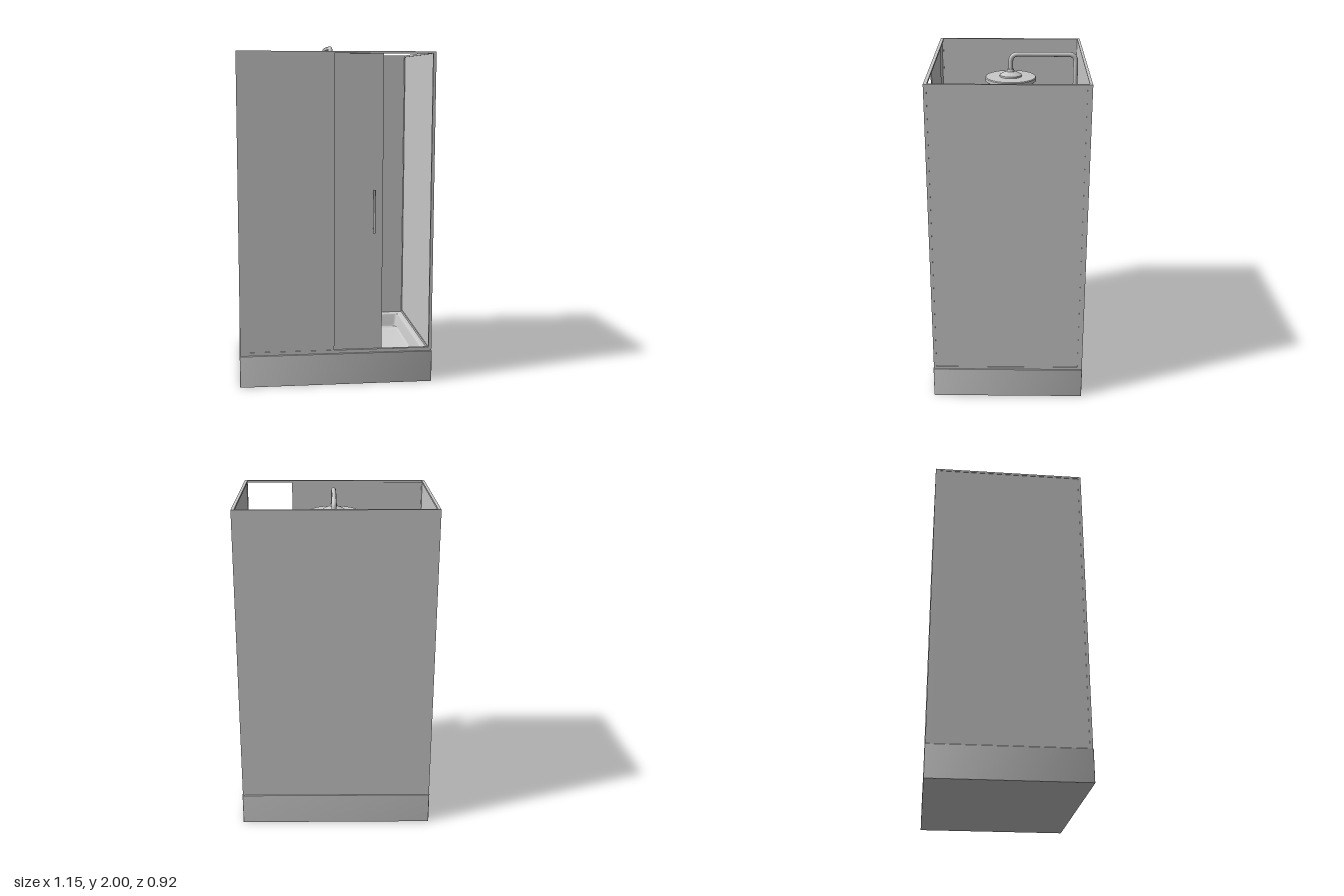
import * as THREE from 'three';
import { toCreasedNormals } from 'three/addons/utils/BufferGeometryUtils.js';

const V = (x, y, z) => new THREE.Vector3(x, y, z);

// Rounded-rectangle cross-section in the xz plane, 4 corners of 7 points each
function ring(hw, hd, r, y, cx = 0, cz = -0.01) {
  const pts = [];
  const signs = [[1, 1], [-1, 1], [-1, -1], [1, -1]];
  signs.forEach(([sx, sz], q) => {
    for (let i = 0; i <= 6; i++) {
      const a = (q + i / 6) * Math.PI / 2;
      pts.push([cx + sx * (hw - r) + r * Math.cos(a), y, cz + sz * (hd - r) + r * Math.sin(a)]);
    }
  });
  return pts;
}

// Skin a list of rings that all have the same number of points
function loft(rings) {
  const pos = [];
  const n = rings[0].length;
  for (let k = 0; k < rings.length - 1; k++) {
    for (let i = 0; i < n; i++) {
      const j = (i + 1) % n;
      const [a, b] = [rings[k], rings[k + 1]];
      pos.push(...a[i], ...b[i], ...a[j], ...a[j], ...b[i], ...b[j]);
    }
  }
  const g = new THREE.BufferGeometry();
  g.setAttribute('position', new THREE.Float32BufferAttribute(pos, 3));
  return toCreasedNormals(g, 0.6);
}

export function createModel() {
  const model = new THREE.Group();
  model.name = 'showerCabin';
  const grey = new THREE.MeshStandardMaterial({ color: 0xc8c8c8 });
  grey.name = 'light grey';

  const add = (name, geo, parent = model) => {
    const m = new THREE.Mesh(geo, grey);
    m.name = name;
    parent.add(m);
    return m;
  };
  const group = (name) => {
    const g = new THREE.Group();
    g.name = name;
    model.add(g);
    return g;
  };
  // Box given by its two opposite corners
  const box = (name, x0, x1, y0, y1, z0, z1, parent) => {
    const m = add(name, new THREE.BoxGeometry(x1 - x0, y1 - y0, z1 - z0), parent);
    m.position.set((x0 + x1) / 2, (y0 + y1) / 2, (z0 + z1) / 2);
    return m;
  };
  // Cylinder between two points
  const rod = (name, a, b, r0, r1, parent, seg = 24) => {
    const d = b.clone().sub(a);
    const m = add(name, new THREE.CylinderGeometry(r1, r0, d.length(), seg), parent);
    m.position.copy(a).addScaledVector(d, 0.5);
    m.quaternion.setFromUnitVectors(V(0, 1, 0), d.normalize());
    return m;
  };

  // Tray: closed shell whose floor falls towards the drain
  const X = 0.573, Z = 0.45, drain = V(-0.39, 0.078, -0.265);
  const inset = (d, r, y) => ring(X - d, Z - d, r, y);
  add('tray', loft([
    ring(0, 0, 0, 0),
    inset(0, 0.006, 0),
    inset(0, 0.006, 0.187),
    inset(0.003, 0.006, 0.19),
    inset(0.02, 0.006, 0.19),
    inset(0.042, 0.012, 0.187),
    inset(0.049, 0.018, 0.182),
    inset(0.053, 0.022, 0.17),
    inset(0.058, 0.026, 0.115),
    inset(0.062, 0.028, 0.1),
    inset(0.072, 0.03, 0.092),
    ring(0, 0, 0, drain.y, drain.x, drain.z),
  ]));

  // Drain cover with radial ribs
  const drainGroup = group('drain');
  drainGroup.position.copy(drain);
  const cover = [[0, 0.008], [0.034, 0.008], [0.037, 0.01], [0.053, 0.01], [0.058, 0.006], [0.058, -0.01]];
  add('drainCover', toCreasedNormals(new THREE.LatheGeometry(
    cover.map(p => new THREE.Vector2(...p)).reverse(), 40), 0.5), drainGroup);
  for (let i = 0; i < 18; i++) {
    const a = i / 18 * Math.PI * 2;
    const rib = add('drainRib', new THREE.BoxGeometry(0.024, 0.004, 0.003), drainGroup);
    rib.position.set(Math.cos(a) * 0.021, 0.009, Math.sin(a) * 0.021);
    rib.rotation.y = -a;
  }

  // Enclosure: solid back wall, side panels in slim frames
  const y0 = 0.19, y1 = 1.955, zb = -0.458, zf = 0.437;
  box('backWall', -0.57, 0.57, y0, y1, zb, -0.442);
  for (const s of [-1, 1]) {
    const side = group(s > 0 ? 'leftSide' : 'rightSide');
    const span = (name, a, b, ya, yb, za, zc) =>
      box(name, Math.min(s * a, s * b), Math.max(s * a, s * b), ya, yb, za, zc, side);
    span('sidePanel', 0.557, 0.567, y0, y1 - 0.002, -0.442, 0.42);
    span('frontPost', 0.553, 0.57, y0, y1, 0.42, zf);
    span('rearPost', 0.553, 0.57, y0, y1, -0.442, -0.43);
    span('topRail', 0.553, 0.57, y1 - 0.012, y1, -0.43, 0.42);
    span('bottomRail', 0.553, 0.57, y0, y0 + 0.015, -0.43, 0.42);
  }

  // Front: rails, fixed panel and the sliding door behind it
  box('frontTopRail', -0.553, 0.553, y1 - 0.012, y1, 0.418, zf);
  box('frontBottomRail', -0.553, 0.553, y0, 0.21, 0.418, zf);
  box('fixedPanel', -0.553, -0.015, 0.21, y1 - 0.012, 0.428, 0.434);
  box('slidingDoor', -0.31, 0.27, 0.208, y1 - 0.01, 0.419, 0.425);

  // Door handle on both faces of the door
  const handle = group('doorHandle');
  for (const z of [0.455, 0.4]) rod('handleBar', V(0.217, 0.91, z), V(0.217, 1.165, z), 0.006, 0.006, handle);
  for (const y of [0.935, 1.14]) rod('handleStud', V(0.217, y, 0.4), V(0.217, y, 0.455), 0.004, 0.004, handle, 12);

  // Riser pipe bending forward over the cabin to the rain head
  const shower = group('showerColumn');
  const cx = 0.01, cz = -0.4;
  const path = new THREE.CurvePath();
  const top = 1.986, bend = 0.045, hz = -0.02;
  path.add(new THREE.LineCurve3(V(cx, 0.9, cz), V(cx, top - bend, cz)));
  path.add(new THREE.QuadraticBezierCurve3(V(cx, top - bend, cz), V(cx, top, cz), V(cx, top, cz + bend)));
  path.add(new THREE.LineCurve3(V(cx, top, cz + bend), V(cx, top, hz - bend)));
  path.add(new THREE.QuadraticBezierCurve3(V(cx, top, hz - bend), V(cx, top, hz), V(cx, top - bend, hz)));
  path.add(new THREE.LineCurve3(V(cx, top - bend, hz), V(cx, 1.86, hz)));
  add('riserPipe', new THREE.TubeGeometry(path, 200, 0.014, 16), shower);

  const headProfile = [[0, 1.828], [0.144, 1.828], [0.15, 1.833], [0.15, 1.85], [0.146, 1.855],
    [0.065, 1.857], [0.064, 1.866], [0.045, 1.877], [0.022, 1.885], [0.018, 1.9], [0, 1.9]];
  add('rainHead', toCreasedNormals(new THREE.LatheGeometry(
    headProfile.map(p => new THREE.Vector2(...p)), 56), 0.6), shower).position.set(cx, 0, hz);

  // Wall bracket near the top of the riser
  rod('wallBracket', V(cx, 1.735, -0.442), V(cx, 1.735, -0.37), 0.016, 0.016, shower);
  rod('wallRosette', V(cx, 1.735, -0.442), V(cx, 1.735, -0.432), 0.03, 0.028, shower);
  rod('bracketCollar', V(cx, 1.71, cz), V(cx, 1.76, cz), 0.021, 0.021, shower);

  // Hand shower in its slider
  const hand = group('handShower');
  rod('slider', V(cx, 1.5, cz), V(cx, 1.555, cz), 0.024, 0.024, hand);
  rod('sliderArm', V(cx + 0.032, 1.527, cz), V(-0.06, 1.527, cz), 0.014, 0.014, hand);
  rod('handGrip', V(-0.05, 1.42, -0.4), V(-0.05, 1.575, -0.385), 0.009, 0.014, hand);
  rod('sprayBack', V(-0.05, 1.585, -0.388), V(-0.05, 1.578, -0.367), 0.02, 0.043, hand, 32);
  rod('sprayFace', V(-0.05, 1.578, -0.367), V(-0.05, 1.573, -0.352), 0.045, 0.043, hand, 32);

  // Hose hanging in a loop back up to the mixer
  const hose = new THREE.CatmullRomCurve3([
    V(-0.05, 1.43, -0.4), V(-0.065, 1.28, -0.4), V(-0.11, 1.06, -0.4), V(-0.168, 0.82, -0.4),
    V(-0.15, 0.66, -0.4), V(-0.06, 0.59, -0.4), V(0.0, 0.68, -0.4), V(cx, 0.87, -0.4)]);
  add('hose', new THREE.TubeGeometry(hose, 90, 0.006, 10), hand);

  // Mixer valve with its lever
  const mixer = group('mixerValve');
  rod('mixerRosette', V(cx, 0.91, -0.442), V(cx, 0.91, -0.43), 0.034, 0.034, mixer, 32);
  rod('mixerBody', V(cx, 0.91, -0.43), V(cx, 0.91, -0.345), 0.027, 0.027, mixer, 32);
  rod('mixerKnob', V(cx, 0.91, -0.343), V(cx, 0.91, -0.31), 0.032, 0.03, mixer, 32);
  rod('mixerLever', V(cx, 0.93, -0.326), V(cx, 0.985, -0.32), 0.006, 0.005, mixer, 12);
  rod('hoseOutlet', V(cx, 0.865, cz), V(cx, 0.91, cz), 0.011, 0.013, mixer, 16);

  return model;
}
